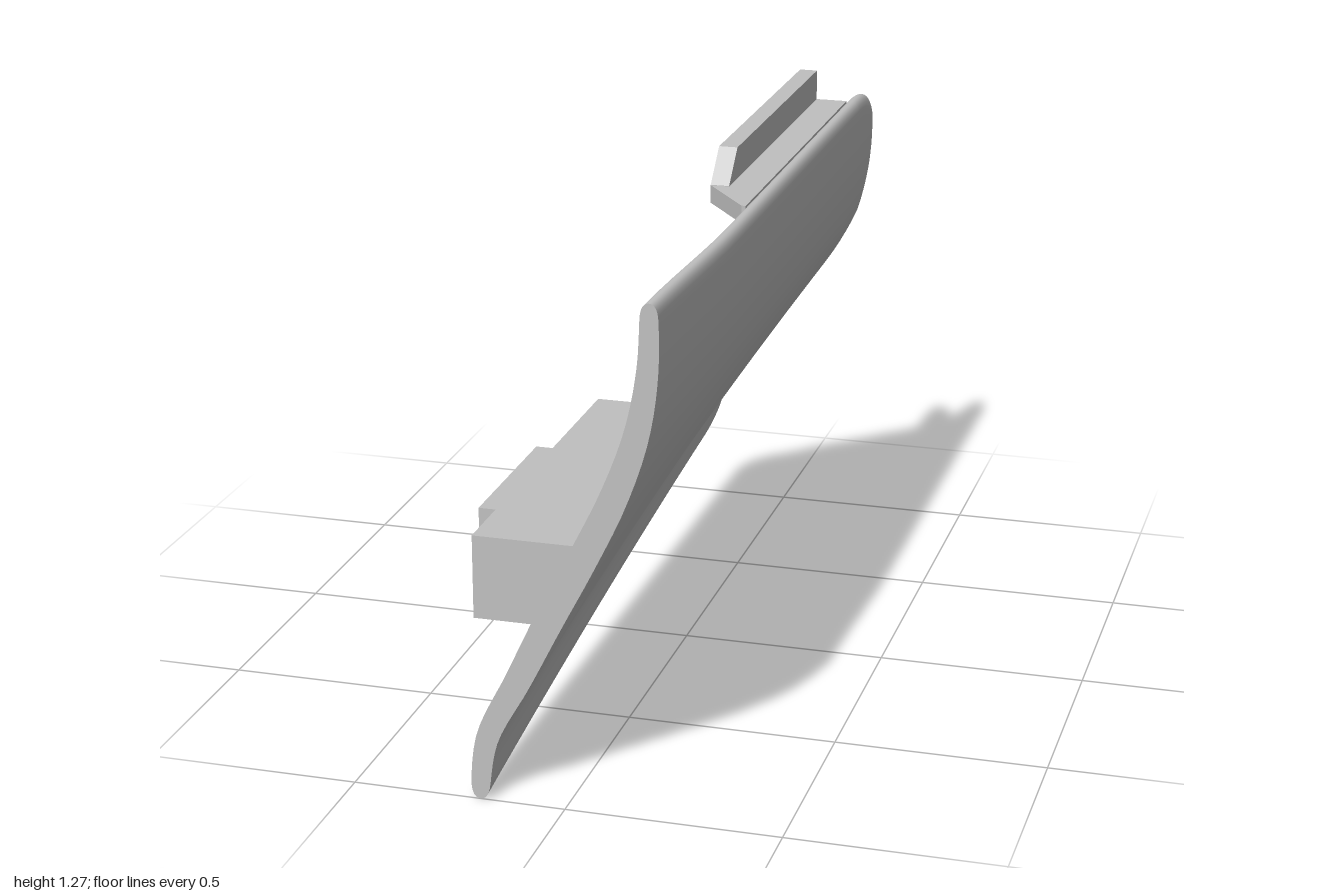
import * as THREE from 'three';

const clamp = (v) => Math.min(1, Math.max(0, v));

// S-shaped centre line of the panel, evenly spaced in height
const HEIGHT = 1.2;
const bend = new THREE.SplineCurve(
  [-0.2, -0.18, -0.105, -0.032, 0.045, 0.117, 0.17, 0.196, 0.2]
    .map((x, i) => new THREE.Vector2(x, i * HEIGHT / 8)));

// Centre line at depth z: lower part rises toward the back, upper part bulges outward
function centre(y, z) {
  const p = bend.getPoint(clamp(y / HEIGHT));
  const t = 1 - z;
  const rise = 0.1525 * t - 0.0175 * t * t;
  p.y += rise * Math.max(0, 1 - p.y / 0.87);
  p.x += 0.018 * THREE.MathUtils.smoothstep(t, 0, 0.6) * clamp((y - 0.4) / 0.6);
  return p;
}

function panelGeometry() {
  const N = 44, ring = 2 * N;
  const stations = [];
  for (let i = 0; i <= 18; i++) stations.push(1 - i * 0.1);
  for (let i = 1; i <= 14; i++) stations.push(-0.8 - 0.2 * Math.sin(i / 14 * Math.PI / 2));
  const pos = [], idx = [];

  for (const z of stations) {
    // rounded rear corners and rounded rear edge
    const c = clamp((-z - 0.8) / 0.2);
    const k = 1 - Math.sqrt(Math.max(0, 1 - c ** 2.6));
    const lo = 0.12 * k, hi = HEIGHT - 0.1 * k;
    const e = clamp((-z - 0.96) / 0.04);
    const rear = Math.sqrt(Math.max(0, 1 - e * e));
    for (let q = 0; q < ring; q++) {
      const j = q <= N ? q : ring - q;
      const side = q <= N ? 1 : -1;
      const s = (1 - Math.cos(j / N * Math.PI)) / 2;
      const y = lo + (hi - lo) * s;
      const p = centre(y, z);
      const a = centre(y - 0.004, z), b = centre(y + 0.004, z);
      const n = new THREE.Vector2(b.y - a.y, a.x - b.x).normalize();
      const end = 1 - clamp(Math.min(s, 1 - s) / 0.045);
      const h = (0.021 + 0.012 * Math.sin(Math.PI * clamp(y / 1.15))) *
        Math.sqrt(Math.max(0, 1 - end * end)) * rear * side;
      pos.push(p.x + n.x * h, p.y + n.y * h, z);
    }
  }
  for (let i = 0; i < stations.length - 1; i++) {
    for (let q = 0; q < ring; q++) {
      const a = i * ring + q, b = i * ring + (q + 1) % ring;
      idx.push(a, a + ring, b, b, a + ring, b + ring);
    }
  }
  // flat front cap on its own vertices
  const base = pos.length / 3;
  pos.push(...pos.slice(0, ring * 3));
  for (let j = 0; j < N; j++) {
    const o0 = base + j, o1 = base + j + 1;
    const i0 = base + (ring - j) % ring, i1 = base + ring - j - 1;
    if (j < N - 1) idx.push(o0, o1, i1);
    if (j > 0) idx.push(o0, i1, i0);
  }
  const g = new THREE.BufferGeometry();
  g.setAttribute('position', new THREE.Float32BufferAttribute(pos, 3));
  g.setIndex(idx);
  g.computeVertexNormals();
  return g;
}

function extrude(points, depth) {
  const shape = new THREE.Shape(points.map(([x, y]) => new THREE.Vector2(x, y)));
  return new THREE.ExtrudeGeometry(shape, { depth, bevelEnabled: false });
}

export function createModel() {
  const group = new THREE.Group();
  const grey = new THREE.MeshStandardMaterial({ color: 0xc0c0c0 });
  grey.name = 'light grey';
  const add = (name, geometry) => {
    const mesh = new THREE.Mesh(geometry, grey);
    mesh.name = name;
    group.add(mesh);
  };

  add('curvedPanel', panelGeometry());

  // inner mounting bar, cut on a slant where it meets the panel
  add('mountingBar', extrude(
    [[-0.205, 0.44], [-0.06, 0.44], [0.045, 0.635], [-0.205, 0.635]], 0.93)
    .translate(0, 0, 0.07));
  add('barPad', new THREE.BoxGeometry(0.08, 0.195, 0.41).translate(-0.205, 0.5375, 0.635));

  // top ledge with a chamfered front corner
  add('topLedge', extrude(
    [[0.08, -0.075], [0.195, -0.225], [0.205, -0.225], [0.205, 0.805], [0.08, 0.805]], 0.043)
    .rotateX(-Math.PI / 2).translate(0, 1.156, 0));

  // upright rail with a sloped front end
  add('topRail', extrude(
    [[-0.805, 1.19], [0.075, 1.19], [0.075, 1.2], [0, 1.275], [-0.805, 1.275]], 0.045)
    .rotateY(-Math.PI / 2).translate(0.125, 0, 0));

  return group;
}
